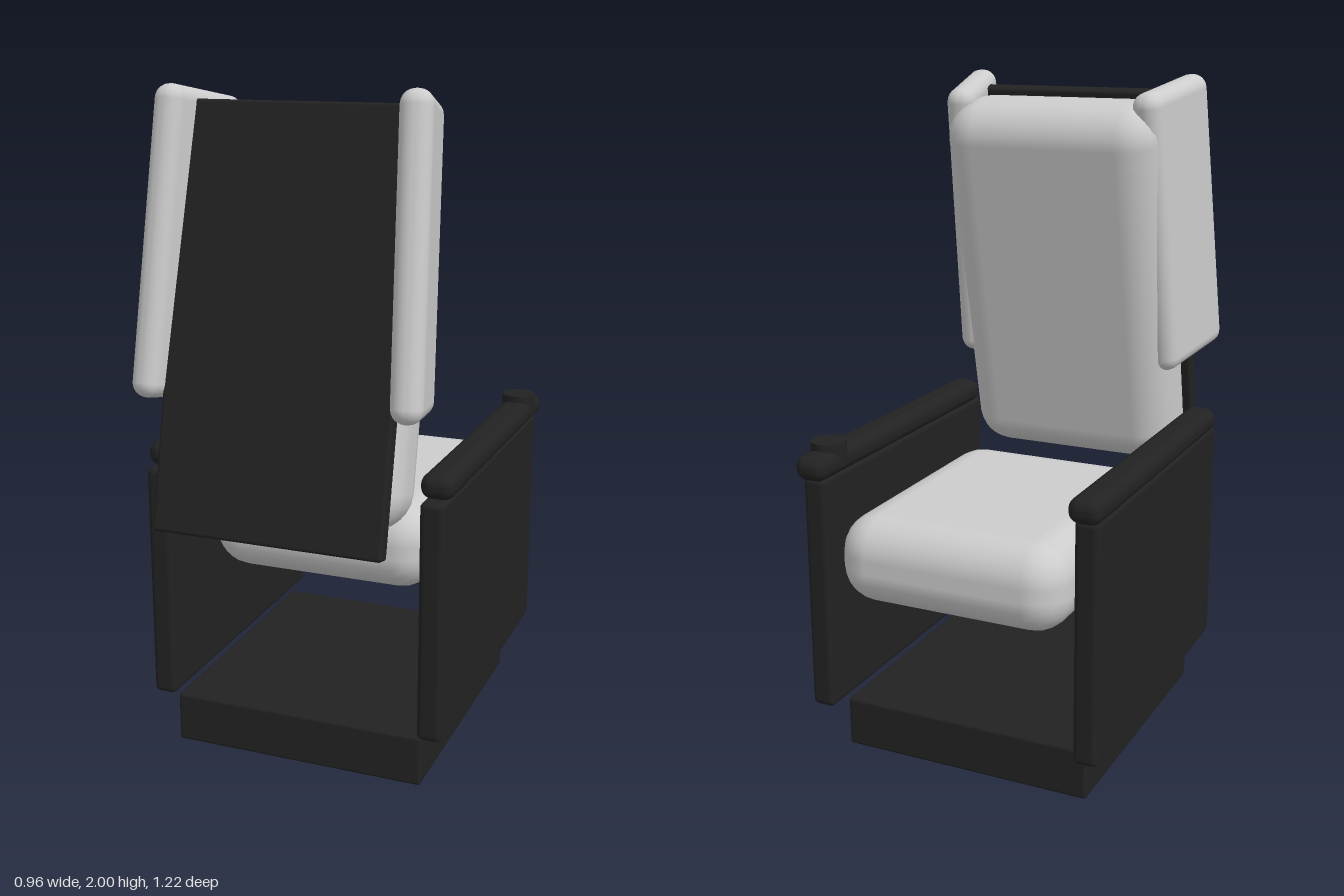
import * as THREE from 'three';
import { RoundedBoxGeometry } from 'three/addons/geometries/RoundedBoxGeometry.js';

const rad = THREE.MathUtils.degToRad;

export function createModel() {
  const chair = new THREE.Group();
  chair.name = 'reclinerChair';
  const frame = new THREE.MeshStandardMaterial({ color: 0x222222 });
  frame.name = 'charcoal frame';
  const cushion = new THREE.MeshStandardMaterial({ color: 0xcccccc });
  cushion.name = 'light grey upholstery';

  // Rounded block from its size, corner radius, centre, backward tilt and yaw
  function block(name, material, size, radius, position, tilt = 0, yaw = 0) {
    const mesh = new THREE.Mesh(new RoundedBoxGeometry(...size, 3, radius), material);
    mesh.name = name;
    mesh.position.set(...position);
    mesh.rotation.set(rad(-tilt), rad(yaw), 0, 'YXZ');
    chair.add(mesh);
  }

  const midX = -0.004; // the cup holder overhangs on one side

  // Plinth and seat
  block('base', frame, [0.79, 0.155, 0.885], 0.01, [midX, 0.0825, -0.043]);
  block('seatCushion', cushion, [0.72, 0.27, 0.87], 0.115, [midX, 0.655, -0.178]);

  // Reclined back: cushion in front of a flat panel
  block('backPanel', frame, [0.69, 1.218, 0.05], 0.01, [midX, 1.36, 0.455], 12.5);
  block('backCushion', cushion, [0.7, 1.17, 0.27], 0.115, [midX, 1.355, 0.293], 12.2);

  // Mirrored sides: arm panel, arm rest and angled head wing
  for (const [label, side] of [['left', 1], ['right', -1]]) {
    const armX = midX + side * 0.426;
    block(label + 'ArmPanel', frame, [0.073, 0.725, 1.01], 0.018, [armX, 0.527, -0.075]);
    block(label + 'ArmRest', frame, [0.1, 0.075, 1.01], 0.034, [armX, 0.922, -0.105]);
    block(label + 'HeadWing', cushion, [0.092, 0.875, 0.335], 0.043,
      [midX + side * 0.346, 1.548, 0.34], 10, side * 12);
  }

  // Round holder at the front of the left arm
  const holder = new THREE.Mesh(new THREE.CylinderGeometry(0.053, 0.053, 0.07, 24), frame);
  holder.name = 'cupHolder';
  holder.position.set(0.424, 0.945, -0.487);
  chair.add(holder);

  // Stand the plinth on the ground
  chair.children[0].position.y = 0.0775;
  return chair;
}
